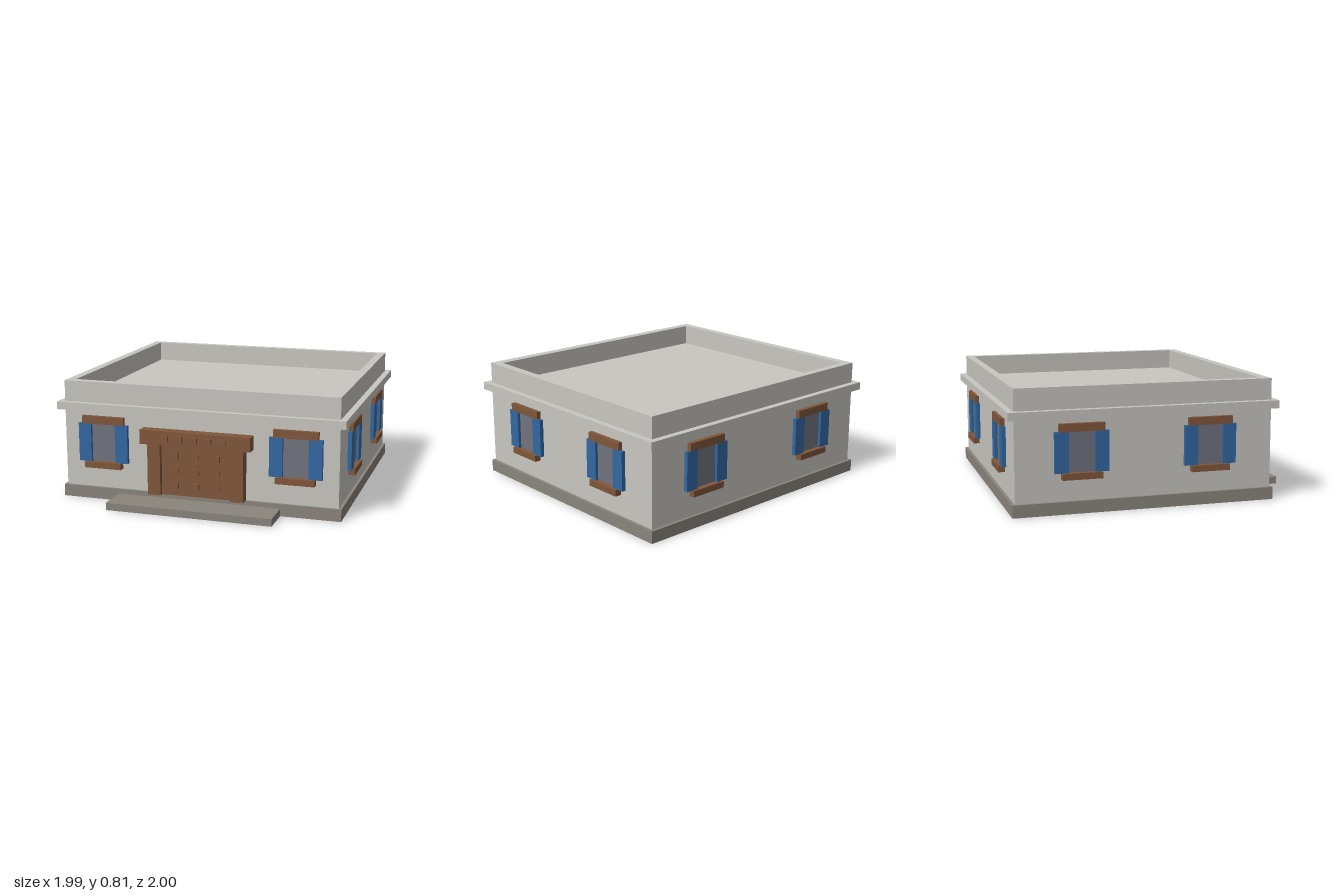
import * as THREE from 'three';

const material = (name, color) => {
  const m = new THREE.MeshStandardMaterial({ color });
  m.name = name;
  return m;
};

export function createModel() {
  const wall = material('plaster', 0xc8c6c0);
  const stone = material('stone', 0x8a857c);
  const wood = material('wood', 0x80563a);
  const blue = material('blue paint', 0x3268a2);
  const glass = material('glass', 0x70737f);

  const model = new THREE.Group();
  model.name = 'house';

  // Box given by its extents along each axis
  const box = (parent, name, mat, [x0, x1], [y0, y1], [z0, z1]) => {
    const mesh = new THREE.Mesh(new THREE.BoxGeometry(x1 - x0, y1 - y0, z1 - z0), mat);
    mesh.position.set((x0 + x1) / 2, (y0 + y1) / 2, (z0 + z1) / 2);
    mesh.name = name;
    parent.add(mesh);
    return mesh;
  };

  // Main masses
  box(model, 'plinth', stone, [-0.97, 0.97], [0, 0.082], [-0.973, 0.783]);
  box(model, 'doorstep', stone, [-0.567, 0.567], [0, 0.05], [0.783, 1]);
  box(model, 'walls', wall, [-0.95, 0.95], [0.082, 0.615], [-0.953, 0.767]);
  box(model, 'corniceAndRoof', wall, [-0.993, 0.993], [0.615, 0.668], [-0.996, 0.807]);

  // Parapet: a rectangular ring around the roof
  const rect = (Type, x, z0, z1) => new Type([
    new THREE.Vector2(-x, -z1), new THREE.Vector2(x, -z1),
    new THREE.Vector2(x, -z0), new THREE.Vector2(-x, -z0),
  ]);
  const ring = rect(THREE.Shape, 0.95, -0.953, 0.767);
  ring.holes.push(rect(THREE.Path, 0.892, -0.9, 0.705));
  const parapetGeo = new THREE.ExtrudeGeometry(ring, { depth: 0.142, bevelEnabled: false });
  parapetGeo.rotateX(-Math.PI / 2);
  const parapet = new THREE.Mesh(parapetGeo, wall);
  parapet.position.y = 0.668;
  parapet.name = 'parapet';
  model.add(parapet);

  // Window with shutters, lintel and sill, built facing +z on the wall plane
  const addWindow = (x, z, turn) => {
    const g = new THREE.Group();
    g.name = 'window';
    box(g, 'pane', glass, [-0.086, 0.086], [0.266, 0.528], [0, 0.007]);
    for (const s of [-1, 1]) {
      const shutter = box(g, 'shutter', blue, [-0.045, 0.045], [0.266, 0.528], [0, 0.027]);
      shutter.position.x = s * 0.131;
    }
    box(g, 'lintel', wood, [-0.149, 0.149], [0.528, 0.58], [0, 0.03]);
    box(g, 'sill', wood, [-0.131, 0.131], [0.224, 0.266], [0, 0.044]);
    g.position.set(x, 0, z);
    g.rotation.y = turn;
    model.add(g);
  };
  for (const s of [-1, 1]) {
    addWindow(s * 0.667, 0.767, 0);
    addWindow(s * 0.507, -0.953, Math.PI);
    for (const z of [0.335, -0.525]) addWindow(s * 0.95, z, s * Math.PI / 2);
  }

  // Door with posts, header and square studs
  const door = new THREE.Group();
  door.name = 'door';
  model.add(door);
  box(door, 'doorPanel', wood, [-0.243, 0.243], [0.082, 0.43], [0.767, 0.803]);
  box(door, 'leftPost', wood, [0.243, 0.332], [0.082, 0.43], [0.767, 0.837]);
  box(door, 'rightPost', wood, [-0.332, -0.243], [0.082, 0.43], [0.767, 0.837]);
  box(door, 'header', wood, [-0.381, 0.381], [0.43, 0.525], [0.767, 0.847]);
  const stud = (x, y, z) =>
    box(door, 'stud', wood, [x - 0.02, x + 0.02], [y - 0.02, y + 0.02], [z, z + 0.017]);
  for (let i = -2; i <= 2; i++) stud(i * 0.1, 0.478, 0.847);
  for (const x of [-0.144, 0, 0.144]) {
    for (const y of [0.152, 0.254, 0.356]) stud(x, y, 0.803);
  }

  return model;
}
